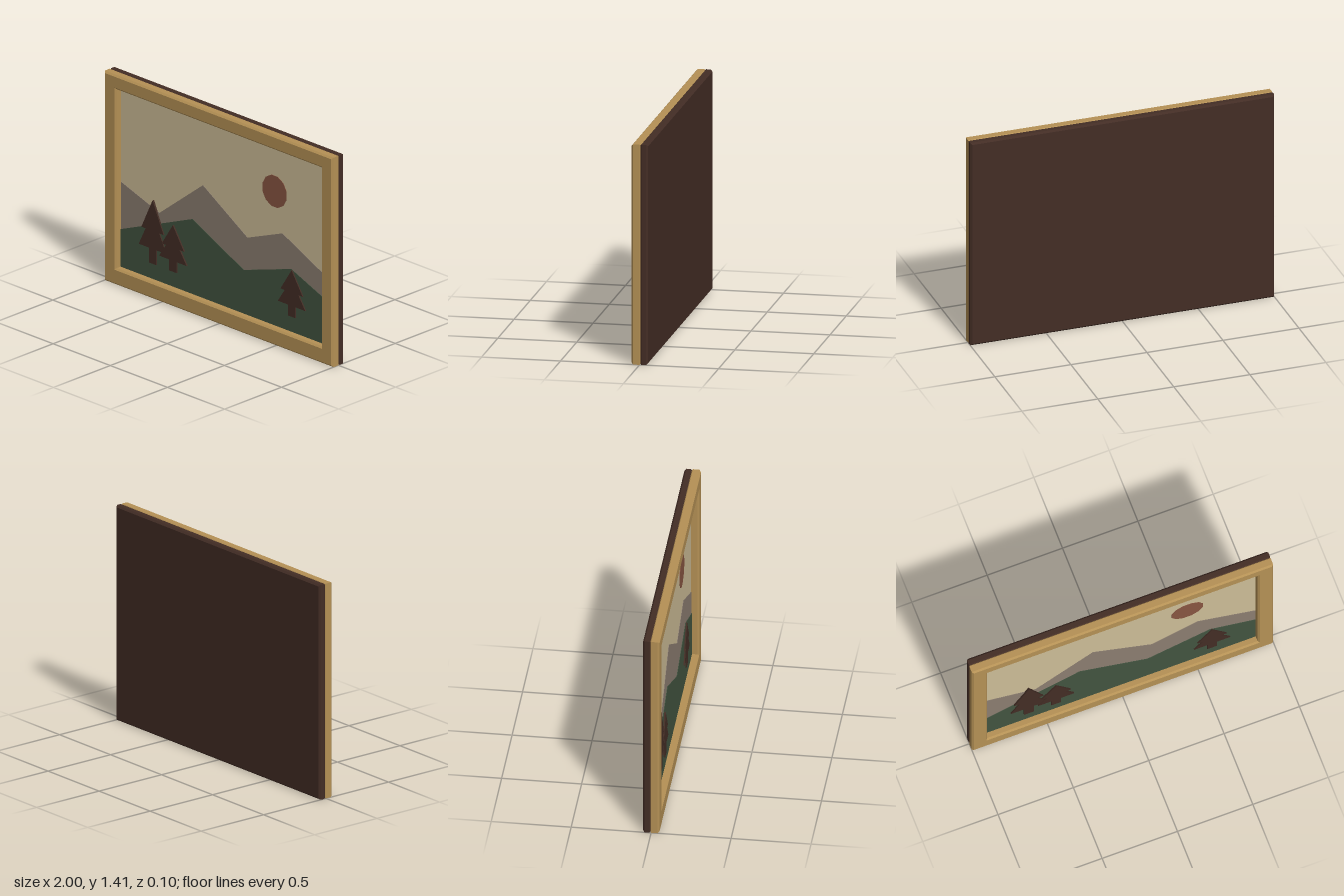
import * as THREE from 'three';

const W = 1, H = 1.406, B = 0.011; // half width, height, bevel

const mat = (name, color) => {
  const m = new THREE.MeshStandardMaterial({ color });
  m.name = name;
  return m;
};

const polygon = (pts) => new THREE.Shape(pts.map(([x, y]) => new THREE.Vector2(x, y)));
const corners = (x, y0, y1) => [[-x, y0], [x, y0], [x, y1], [-x, y1]];

// Solid between z0 and z1, with chamfered edges when bevel > 0
function slab(name, shape, z0, z1, material, bevel = 0) {
  const geo = new THREE.ExtrudeGeometry(shape, {
    depth: z1 - z0 - 2 * bevel,
    bevelEnabled: bevel > 0,
    bevelSegments: 1,
    bevelSize: bevel,
    bevelThickness: bevel,
    bevelOffset: -bevel,
  });
  geo.translate(0, 0, z0 + bevel);
  const mesh = new THREE.Mesh(geo, material);
  mesh.name = name;
  return mesh;
}

// Two-tier fir silhouette with a trunk
function firShape(x, y, height) {
  const half = [[0.032, 0], [0.032, 0.235], [0.12, 0.235], [0.06, 0.52], [0.097, 0.52]];
  const right = half.map(([dx, t]) => [x + dx, y + t * height]);
  const left = half.map(([dx, t]) => [x - dx, y + t * height]).reverse();
  return polygon([...right, [x, y + height], ...left]);
}

export function createModel() {
  const gold = mat('goldenWood', 0xb59155);
  const dark = mat('darkBrown', 0x432d25);
  const cream = mat('creamSky', 0xcdbd97);
  const grey = mat('greyMountain', 0x8b7d70);
  const green = mat('greenHill', 0x425440);
  const red = mat('redSun', 0x885541);

  const group = new THREE.Group();
  group.name = 'framedPicture';

  // Frame with a rectangular opening, and the backing board behind it
  const frame = polygon(corners(W, 0, H));
  frame.holes.push(new THREE.Path(
    corners(0.897, 0.11, 1.311).reverse().map(([x, y]) => new THREE.Vector2(x, y))));
  group.add(slab('frame', frame, -0.011, 0.052, gold, B));
  group.add(slab('backing', polygon(corners(W, 0, H)), -0.052, 0, dark, B));

  // Landscape in thin layers
  const L = 0.9, base = [[L, 0.105], [-L, 0.105]];
  group.add(slab('sky', polygon(corners(L, 0.105, 1.316)), 0, 0.002, cream));

  const sun = polygon(Array.from({ length: 12 }, (_, i) => {
    const a = (i + 0.5) * Math.PI / 6;
    return [0.446 + 0.108 * Math.cos(a), 1.007 + 0.108 * Math.sin(a)];
  }));
  group.add(slab('sun', sun, 0.001, 0.005, red));

  const mountains = [[-L, 0.68], [-0.56, 0.568], [-0.18, 0.865], [0.21, 0.627], [0.515, 0.745], [L, 0.567]];
  group.add(slab('mountains', polygon([...mountains, ...base]), 0.001, 0.005, grey));

  const hills = [[-L, 0.36], [-0.27, 0.612], [0.18, 0.402], [0.595, 0.53], [L, 0.41]];
  group.add(slab('hills', polygon([...hills, ...base]), 0.001, 0.008, green));

  // Trees: x, height
  [[-0.61, 0.425], [-0.43, 0.312], [0.606, 0.312]].forEach(([x, h], i) => {
    group.add(slab(`tree${i + 1}`, firShape(x, 0.215, h), 0.002, 0.016 + (i % 2) * 0.002, dark));
  });

  return group;
}
